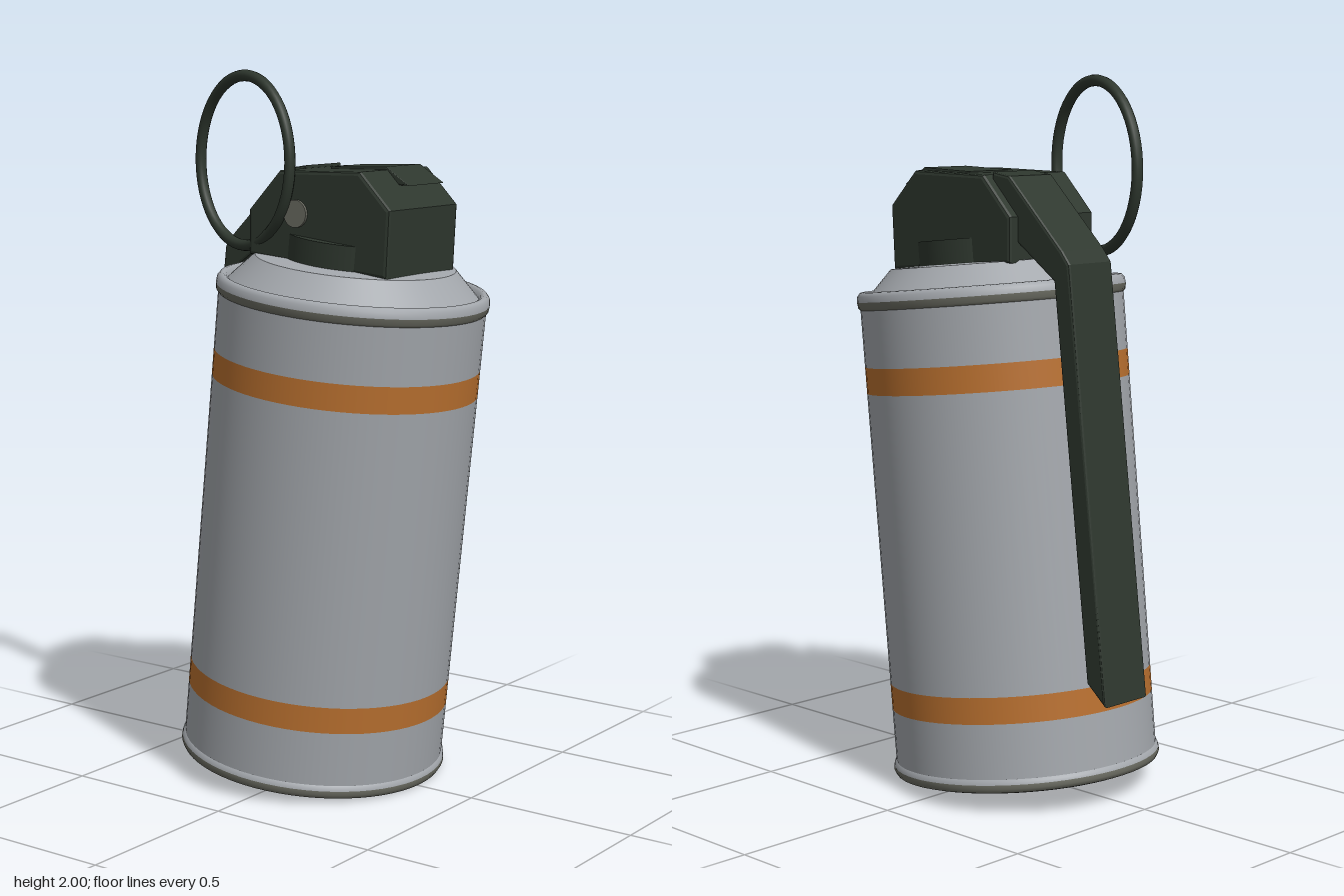
import * as THREE from 'three';

const mat = (name, color) => {
  const m = new THREE.MeshStandardMaterial({ color });
  m.name = name;
  return m;
};

export function createModel() {
  const steel = mat('steel', 0xa3a7ac);
  const orange = mat('orange', 0xb9702f);
  const olive = mat('olive grey', 0x6b6c62);
  const capGrey = mat('cap grey', 0x85878a);
  const green = mat('dark green', 0x2e372e);

  const model = new THREE.Group();
  model.name = 'canister';

  const add = (parent, name, geometry, material) => {
    const mesh = new THREE.Mesh(geometry, material);
    mesh.name = name;
    parent.add(mesh);
    return mesh;
  };

  // Leaning can: everything turned shares one tilted axis
  const can = new THREE.Group();
  can.name = 'can';
  can.position.set(-0.05, 0.042, 0);
  can.rotation.z = -0.105;
  model.add(can);

  const turned = (name, material, ...points) => add(can, name,
    new THREE.LatheGeometry(points.map(([r, y]) => new THREE.Vector2(r, y)), 64), material);

  // Walls and painted bands, stacked without overlap
  const R = 0.374;
  turned('lowerWall', steel, [R, 0.03], [R, 0.193]);
  turned('lowerBand', orange, [R, 0.193], [R, 0.267]);
  turned('middleWall', steel, [R, 0.267], [R, 1.097]);
  turned('upperBand', orange, [R, 1.097], [R, 1.172]);
  turned('upperWall', steel, [R, 1.172], [R, 1.345]);

  // Bottom cap and rim
  turned('bottomCap', capGrey, [0, 0.012], [0.352, 0.012]);
  turned('bottomRim', olive, [0.35, 0.013], [0.354, 0.003], [0.364, 0], [0.376, 0.004], [0.382, 0.015], [0.381, 0.026]);
  turned('bottomRimTop', steel, [0.381, 0.026], [0.379, 0.034], [R, 0.04]);

  // Rolled top rim, shoulder and lid
  turned('topRimUnderside', olive, [R, 1.333], [0.38, 1.34], [0.382, 1.356]);
  turned('topRim', steel, [0.382, 1.356], [0.38, 1.372], [0.372, 1.382], [0.363, 1.384], [0.354, 1.379], [0.348, 1.366]);
  turned('shoulder', steel, [0.352, 1.366], [0.28, 1.442]);
  turned('lid', steel, [0.28, 1.442], [0.15, 1.447]);
  turned('collar', green, [0.2, 1.44], [0.2, 1.513]);
  turned('collarTop', green, [0.2, 1.513], [0, 1.513]);

  // Side profiles extruded across z, with a small bevel inside the outline
  const profile = (name, points, z0, z1, bevel) => {
    const shape = new THREE.Shape(points.map(([x, y]) => new THREE.Vector2(x, y)));
    const geometry = new THREE.ExtrudeGeometry(shape, {
      depth: z1 - z0 - 2 * bevel, bevelEnabled: true, bevelSize: bevel,
      bevelThickness: bevel, bevelOffset: -bevel, bevelSegments: 2,
    });
    geometry.translate(0, 0, z0 + bevel);
    return add(model, name, geometry, green);
  };

  // Fuse head with chamfered ends
  profile('fuseHead', [
    [-0.145, 1.495], [0.318, 1.452], [0.328, 1.635], [0.23, 1.735], [-0.04, 1.73], [-0.145, 1.62],
  ], -0.168, 0.166, 0.01);

  // Safety lever hooked over the head and running down the side
  profile('lever', [
    [-0.473, 0.312], [-0.405, 0.368], [-0.278, 1.452], [-0.14, 1.55], [-0.045, 1.65],
    [-0.045, 1.738], [-0.11, 1.728], [-0.305, 1.535], [-0.333, 1.5],
  ], -0.136, 0.036, 0.008);

  // Raised tongue on top of the head
  profile('topTongue', [
    [0.04, 1.72], [0.2, 1.70], [0.25, 1.695], [0.302, 1.694], [0.225, 1.743], [0.04, 1.737],
  ], -0.136, 0.034, 0.004);

  // Pin end on the front of the head
  const pin = add(model, 'pinEnd', new THREE.CylinderGeometry(0.038, 0.038, 0.02, 24), olive);
  pin.rotation.x = Math.PI / 2;
  pin.position.set(0.02, 1.615, 0.164);

  // Pull ring, slightly oval
  const ringShape = new THREE.TorusGeometry(0.235, 0.016, 12, 64);
  ringShape.scale(0.868, 1, 1);
  ringShape.rotateZ(-0.1);
  const ring = add(model, 'pullRing', ringShape, green);
  ring.rotation.y = -0.255;
  ring.position.set(-0.183, 1.75, 0.135);

  return model;
}
